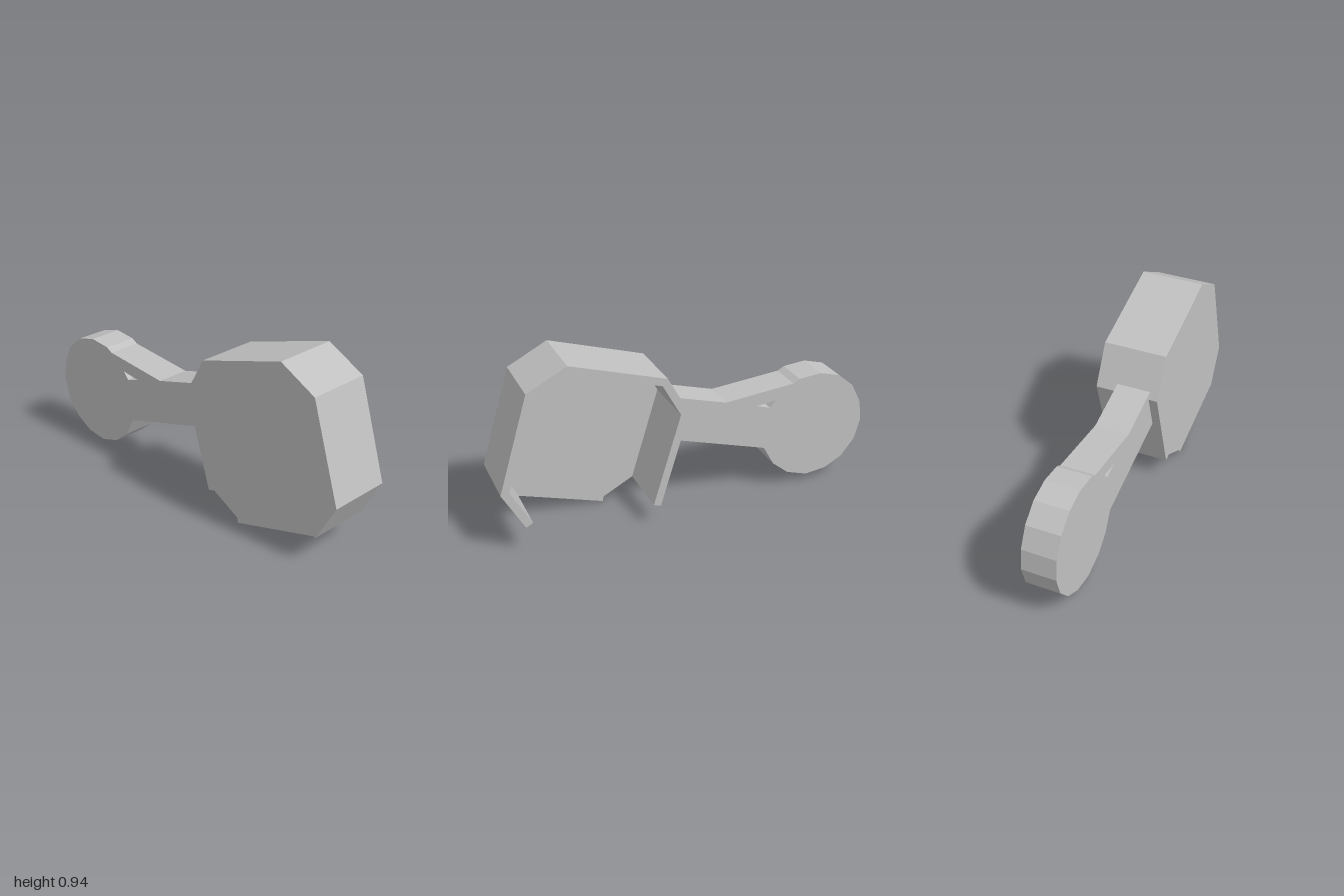
import * as THREE from 'three';

const shapeOf = (pts) => new THREE.Shape(pts.map(([x, y]) => new THREE.Vector2(x, y)));

// Flat slab between two z levels
function slab(name, shape, z0, z1, material) {
  const geo = new THREE.ExtrudeGeometry(shape, { depth: z1 - z0, bevelEnabled: false });
  geo.translate(0, 0, z0);
  const mesh = new THREE.Mesh(geo, material);
  mesh.name = name;
  return mesh;
}

// Moves an open clockwise path inwards with mitred corners and square ends
function insetPath(pts, t) {
  const normals = pts.slice(1).map(([x, y], i) => {
    const dx = x - pts[i][0], dy = y - pts[i][1], l = Math.hypot(dx, dy);
    return [dy / l, -dx / l];
  });
  return pts.map(([x, y], i) => {
    const a = normals[Math.max(i - 1, 0)], b = normals[Math.min(i, normals.length - 1)];
    const k = t / (1 + a[0] * b[0] + a[1] * b[1]);
    return [x + (a[0] + b[0]) * k, y + (a[1] + b[1]) * k];
  });
}

export function createModel() {
  const group = new THREE.Group();
  group.name = 'cupWithArm';
  const grey = new THREE.MeshStandardMaterial({ color: 0xc0c0c0 });
  grey.name = 'plain grey';

  // Cup rim: octagonal wall left open at the lower edges
  const outer = [[0.2, 0.1], [0.047, 0.59], [0.157, 0.79], [0.646, 0.94],
    [0.847, 0.835], [1, 0.34], [0.89, 0.14]];
  const inner = insetPath(outer, 0.04);
  inner[0] = [0.238, 0.112];
  group.add(slab('cupWall', shapeOf([...outer, ...inner.reverse()]), -0.165, 0.148, grey));

  // Front plate closing the cup
  const plate = [...outer, [0.88, 0.145], [0.404, 0], [0.398, 0.027], [0.238, 0.112]];
  group.add(slab('cupFrontPlate', shapeOf(plate), 0.148, 0.165, grey));

  // Arm with rounded paddle end and a small slot
  const arm = shapeOf([[0.065, 0.625], [-0.2, 0.549], [-0.58, 0.586], [-0.615, 0.606],
    [-0.735, 0.618], [-0.847, 0.587], [-0.935, 0.513], [-0.987, 0.41], [-1, 0.3],
    [-0.968, 0.19], [-0.895, 0.1], [-0.797, 0.047], [-0.682, 0.032], [-0.568, 0.068],
    [-0.482, 0.138], [-0.423, 0.244], [0.106, 0.402], [0.047, 0.59]]);
  arm.holes.push(new THREE.Path([[-0.484, 0.51], [-0.45, 0.472], [-0.372, 0.497], [-0.41, 0.5]]
    .map(([x, y]) => new THREE.Vector2(x, y))));
  group.add(slab('arm', arm, -0.057, 0.12, grey));

  return group;
}
